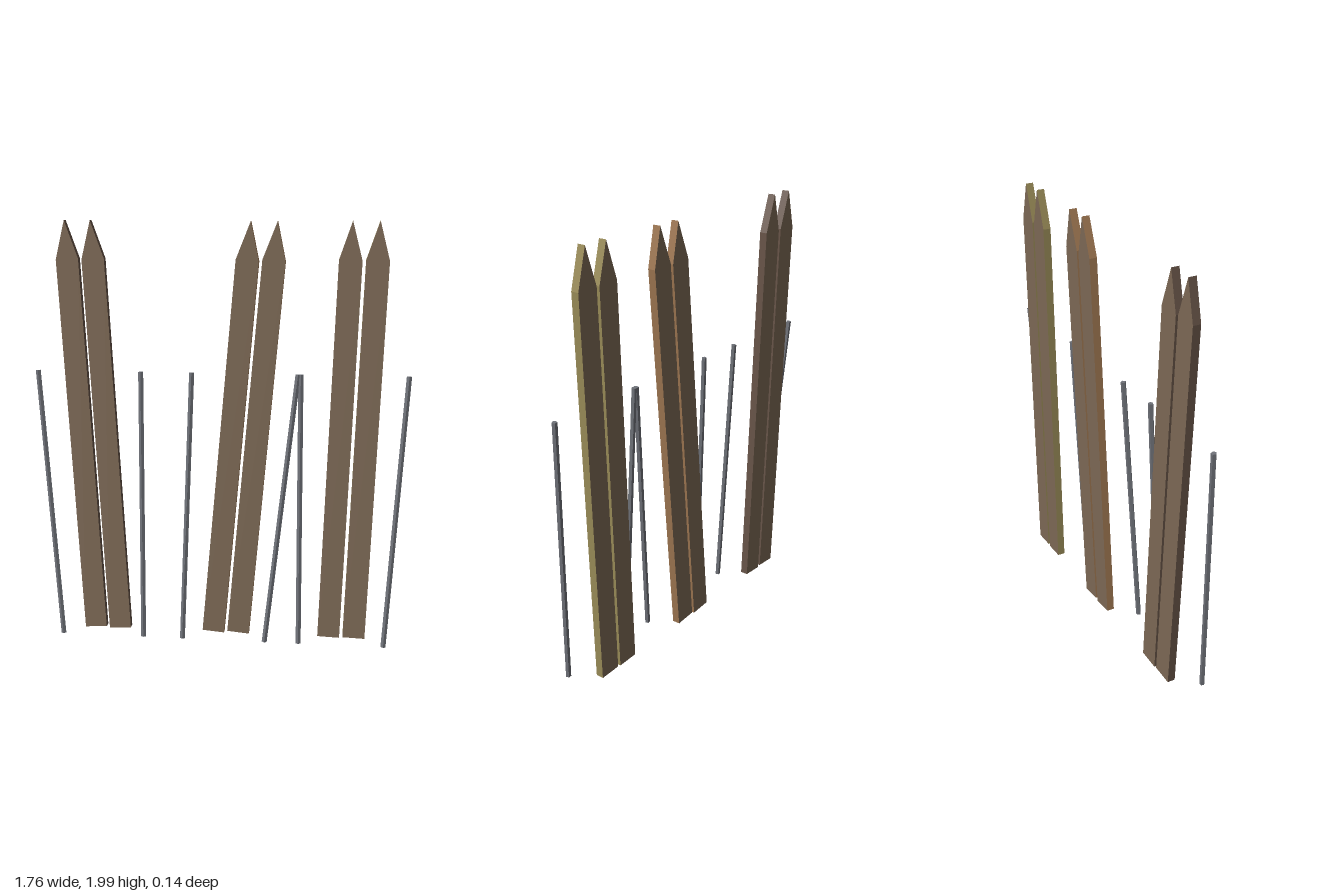
import * as THREE from 'three';

const mat = (name, color) => {
  const m = new THREE.MeshStandardMaterial({ color });
  m.name = name;
  return m;
};

export function createModel() {
  const root = new THREE.Group();
  root.name = 'skisAndPoles';

  const wood = mat('brown wood', 0x7d6955);
  const steel = mat('grey metal', 0x6f7279);
  const darkEdge = mat('dark brown edge', 0x655246);
  const orangeEdge = mat('orange brown edge', 0x9c7550);
  const oliveEdge = mat('olive edge', 0x988a57);

  // Ski outline: straight plank with a pointed tip, centred on its length
  const half = 0.994, w = 0.053, shoulder = 0.817, thick = 0.037;
  const outline = new THREE.Shape([
    [-w, -half], [w, -half], [w, shoulder], [0, half], [-w, shoulder],
  ].map(([x, y]) => new THREE.Vector2(x, y)));
  const skiGeo = new THREE.ExtrudeGeometry(outline, { depth: thick, bevelEnabled: false });

  // Three leaning pairs: centre x, lean in degrees, edge colour
  [
    [-0.617, 3, darkEdge],
    [0.109, -5, orangeEdge],
    [0.62, -2, oliveEdge],
  ].forEach(([cx, lean, edge], i) => {
    const pair = new THREE.Group();
    pair.name = `skiPair${i + 1}`;
    for (const side of [-1, 1]) {
      const ski = new THREE.Mesh(skiGeo, [wood, edge]);
      ski.name = side < 0 ? 'rightSki' : 'leftSki';
      ski.position.set(cx + side * 0.061, 1, -0.071);
      ski.rotation.z = THREE.MathUtils.degToRad(lean);
      pair.add(ski);
    }
    root.add(pair);
  });

  // Five-sided poles leaning back: bottom x, top x
  const up = new THREE.Vector3(0, 1, 0);
  [
    [-0.765, -0.868], [-0.368, -0.376], [-0.177, -0.135],
    [0.22, 0.36], [0.383, 0.373], [0.785, 0.866],
  ].forEach(([xb, xt], i) => {
    const a = new THREE.Vector3(xb, 0.008, 0.061);
    const b = new THREE.Vector3(xt, 1.297, -0.011);
    const dir = b.clone().sub(a);
    const geo = new THREE.CylinderGeometry(0.0126, 0.0126, dir.length(), 5).toNonIndexed();
    geo.computeVertexNormals(); // crisp facets
    const pole = new THREE.Mesh(geo, steel);
    pole.name = `pole${i + 1}`;
    pole.position.copy(a).add(b).multiplyScalar(0.5);
    pole.quaternion.setFromUnitVectors(up, dir.normalize());
    root.add(pole);
  });

  return root;
}
